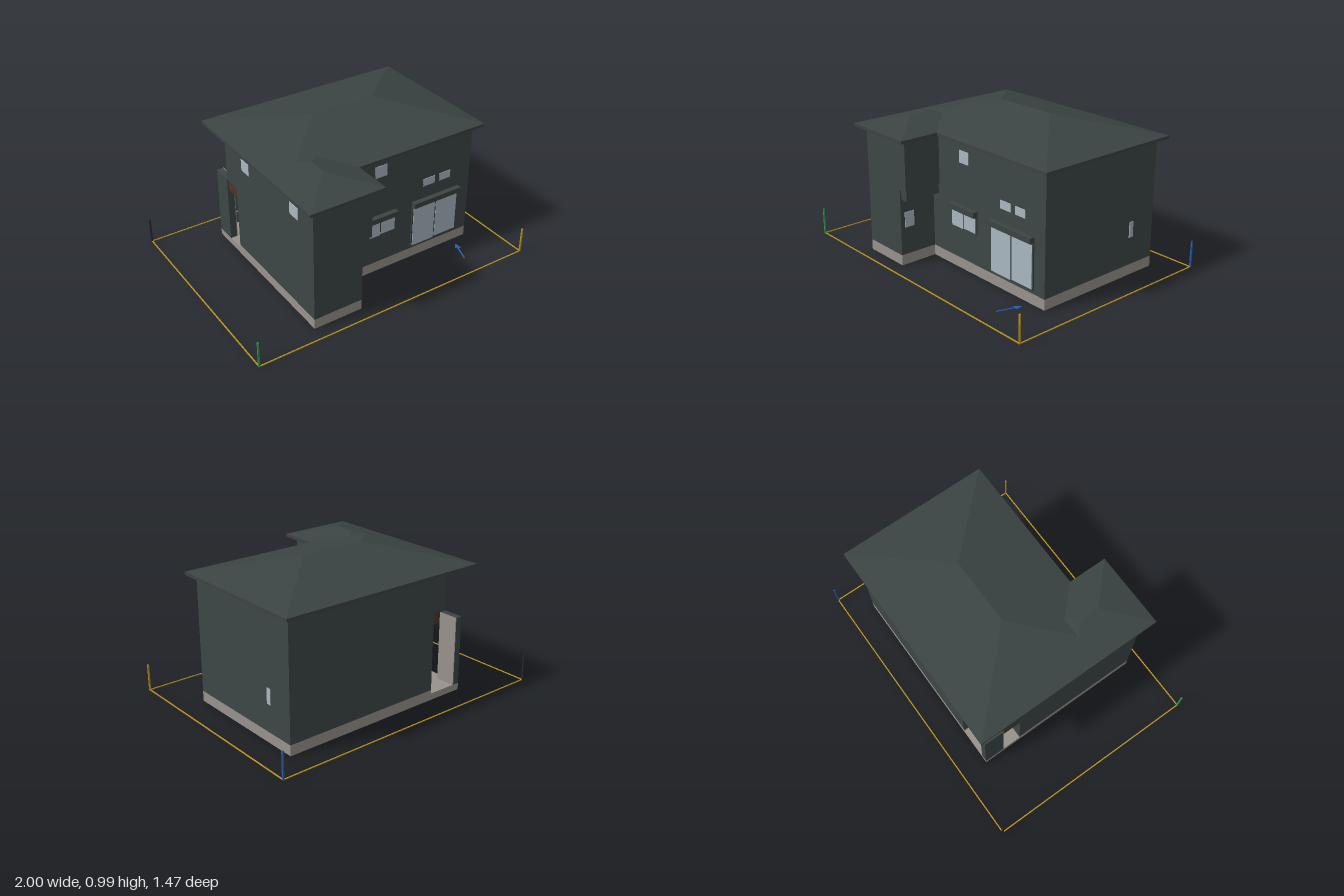
import * as THREE from 'three';

const mat = (name, color) => {
  const m = new THREE.MeshStandardMaterial({ color });
  m.name = name;
  return m;
};

export function createModel() {
  const wall = mat('slate wall', 0x3d4646);
  const roof = mat('slate roof', 0x3b4443);
  const concrete = mat('concrete', 0x98928c);
  const glass = mat('glass', 0xa9b8c2);
  const brown = mat('brown soffit', 0x4e3429);
  const darkBrown = mat('dark floor', 0x33231f);
  const yellow = mat('yellow', 0xb8921c);
  const blue = mat('blue', 0x2a5caa);
  const green = mat('green', 0x2e9a4e);
  const black = mat('black', 0x26282a);

  const model = new THREE.Group();
  model.name = 'house';

  const add = (name, geometry, material) => {
    const mesh = new THREE.Mesh(geometry, material);
    mesh.name = name;
    model.add(mesh);
    return mesh;
  };
  // Box given by its limits on each axis
  const box = (name, material, x0, x1, y0, y1, z0, z1) => {
    const g = new THREE.BoxGeometry(x1 - x0, y1 - y0, z1 - z0);
    g.translate((x0 + x1) / 2, (y0 + y1) / 2, (z0 + z1) / 2);
    return add(name, g, material);
  };
  // Upright prism on a plan outline of [x, z] points, optionally hollow
  const prism = (name, material, outline, y0, y1, hole) => {
    const toPoints = (pts) => pts.map(([x, z]) => new THREE.Vector2(x, -z));
    const shape = new THREE.Shape(toPoints(outline));
    if (hole) shape.holes.push(new THREE.Path(toPoints(hole)));
    const g = new THREE.ExtrudeGeometry(shape, { depth: y1 - y0, bevelEnabled: false });
    g.rotateX(-Math.PI / 2).translate(0, y0, 0);
    return add(name, g, material);
  };
  // Stepped plan: wingX = right side of front wing, porchZ = back of porch notch, inset shrinks it
  const plan = (wingX, porchZ, i = 0) => [
    [-0.56 + i, 0.63 - i], [wingX - i, 0.63 - i], [wingX - i, 0.37 - i], [0.81 - i, 0.37 - i],
    [0.81 - i, -0.55 + i], [-0.31 + i, -0.55 + i], [-0.31 + i, porchZ + i], [-0.56 + i, porchZ + i],
  ];

  // Foundation ring and floor
  prism('foundation', concrete, plan(-0.22, -0.28), 0, 0.07, plan(-0.22, -0.28, 0.03));
  prism('floor', darkBrown, plan(-0.22, -0.28, 0.02), 0.05, 0.069);

  // Two storeys; the upper one overhangs the wing side and the porch
  prism('lowerWalls', wall, plan(-0.22, -0.28), 0.07, 0.51);
  prism('upperWalls', wall, plan(-0.155, -0.405), 0.51, 0.85);
  box('wingOverhangBand', wall, -0.23, -0.165, 0.445, 0.51, 0.36, 0.62);

  // Corner porch
  box('porchSlab', concrete, -0.56, -0.31, 0, 0.045, -0.55, -0.15);
  box('porchBeam', brown, -0.555, -0.31, 0.43, 0.51, -0.4, -0.28);
  box('porchScreen', wall, -0.56, -0.515, 0.045, 0.51, -0.55, -0.41);
  box('porchScreenLining', concrete, -0.515, -0.51, 0.045, 0.51, -0.55, -0.41);
  box('porchCeiling', brown, -0.56, -0.31, 0.838, 0.846, -0.55, -0.405);

  // Hip roof with its ridge along the longer side
  const hip = (name, cx, cz, length, span, turn) => {
    const l = length / 2, s = span / 2, y = 0.865, r = l - s, top = y + s * 0.245;
    const a = [-l, y, -s], b = [l, y, -s], c = [l, y, s], d = [-l, y, s];
    const r0 = [-r, top, 0], r1 = [r, top, 0];
    const faces = [d, c, r1, d, r1, r0, c, b, r1, b, a, r0, b, r0, r1, a, d, r0];
    const g = new THREE.BufferGeometry();
    g.setAttribute('position', new THREE.Float32BufferAttribute(faces.flat(), 3));
    g.rotateY(turn).translate(cx, 0, cz);
    g.computeVertexNormals();
    add(name, g, roof);
  };
  hip('mainRoof', 0.1225, -0.0925, 1.475, 1.025, 0);
  hip('wingRoof', -0.36, 0.365, 0.64, 0.51, Math.PI / 2);
  prism('eaves', roof, [
    [-0.615, 0.685], [-0.105, 0.685], [-0.105, 0.42], [0.86, 0.42], [0.86, -0.605], [-0.615, -0.605],
  ], 0.845, 0.865);

  // Framed sliding windows on the front, each under a shutter box
  const sliding = (name, x0, x1, y0, y1) => {
    const mid = (x0 + x1) / 2;
    box(name + 'Frame', roof, x0, x1, y0, y1, 0.365, 0.378);
    box(name + 'LeftPane', glass, mid + 0.005, x1 - 0.01, y0 + 0.01, y1 - 0.015, 0.377, 0.38);
    box(name + 'RightPane', glass, x0 + 0.01, mid - 0.005, y0 + 0.005, y1, 0.377, 0.382);
    box(name + 'ShutterBox', roof, x0, x1, y1, y1 + 0.035, 0.365, 0.405);
  };
  sliding('patioDoor', 0.345, 0.72, 0.09, 0.395);
  sliding('frontWindow', -0.028, 0.215, 0.275, 0.395);

  // Small windows on the front
  for (const [x0, x1, y0, y1] of [
    [0.05, 0.137, 0.705, 0.785], [0.43, 0.52, 0.52, 0.573], [0.56, 0.645, 0.52, 0.573],
  ]) box('smallFrontWindow', glass, x0, x1, y0, y1, 0.367, 0.374);

  // Small windows on the sides: wall x, z range, y range
  for (const [x, z0, z1, y0, y1] of [
    [-0.22, 0.53, 0.6, 0.253, 0.355], [0.81, -0.37, -0.337, 0.253, 0.355],
    [-0.56, -0.19, -0.1, 0.69, 0.77], [-0.56, 0.38, 0.47, 0.69, 0.77],
  ]) box('sideWindow', glass, x - 0.004, x + 0.004, y0, y1, z0, z1);

  // Plot border with a coloured post at each corner
  const X = 0.995, Z = 0.728, t = 0.004;
  for (const s of [-1, 1]) {
    box('plotLineAcross', yellow, -X, X, 0, 0.005, s * Z - t, s * Z + t);
    box('plotLineAlong', yellow, s * X - t, s * X + t, 0, 0.005, -Z, Z);
  }
  for (const [x, z, m] of [[-X, Z, green], [X, Z, yellow], [X, -Z, blue], [-X, -Z, black]]) {
    box('cornerPost', m, x - 0.005, x + 0.005, 0, 0.18, z - 0.005, z + 0.005);
  }

  // Flat arrow on the ground
  const arrow = prism('arrow', blue, [
    [0, 0], [0.022, 0.05], [0.005, 0.046], [0.004, 0.165], [-0.004, 0.165], [-0.005, 0.046], [-0.022, 0.05],
  ], 0, 0.004);
  arrow.position.set(0.69, 0, 0.43);
  arrow.rotation.y = -0.32;

  return model;
}
